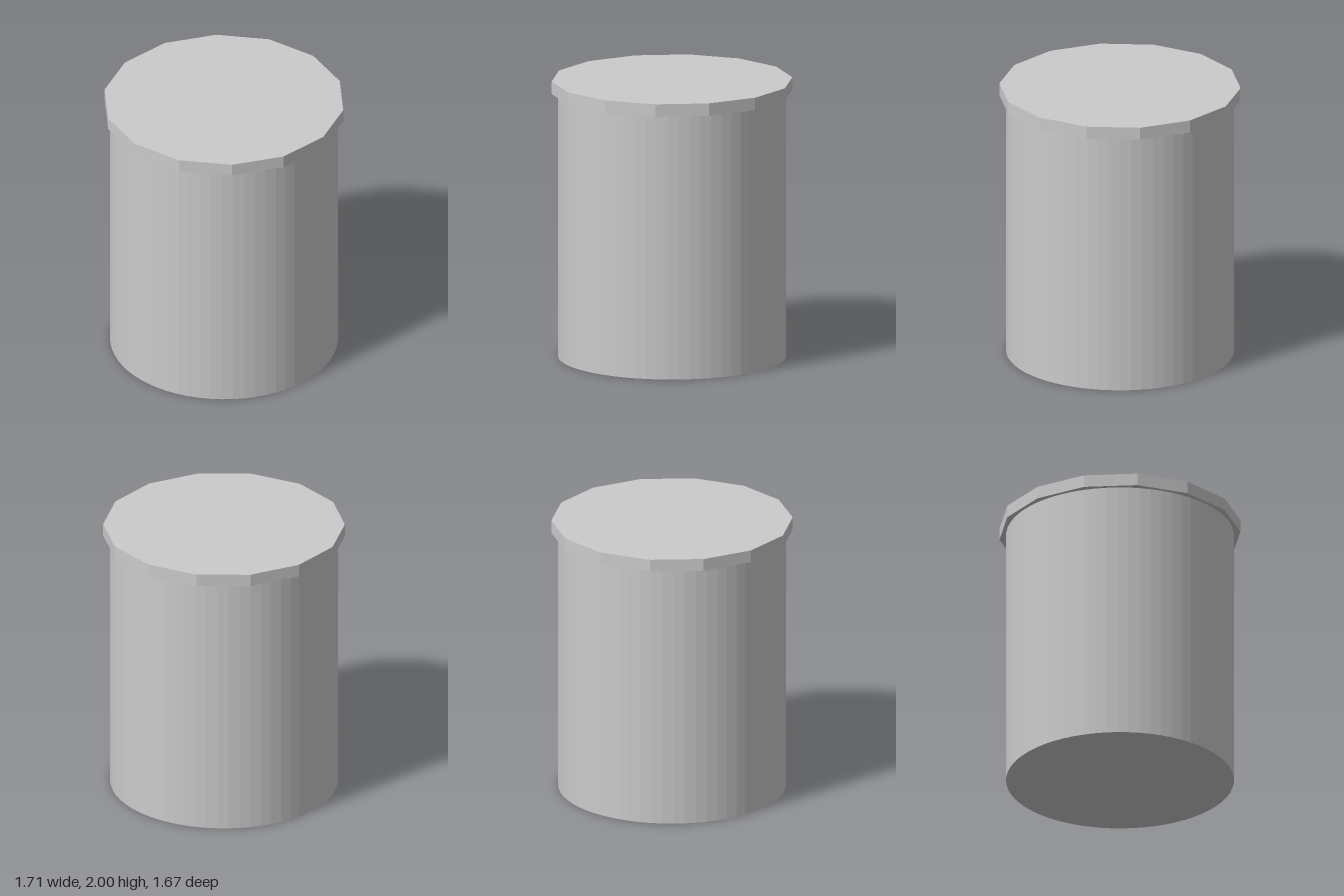
import * as THREE from 'three';

export function createModel() {
  const group = new THREE.Group();
  const material = new THREE.MeshStandardMaterial({ color: 0xcccccc, flatShading: true });

  // Upright cylinder spanning bottom..top, with a corner on the x axis
  const addDrum = (name, radius, bottom, top, sides) => {
    const geometry = new THREE.CylinderGeometry(radius, radius, top - bottom, sides, 1, false, Math.PI / 2);
    const mesh = new THREE.Mesh(geometry, material);
    mesh.name = name;
    mesh.position.y = (bottom + top) / 2;
    group.add(mesh);
  };

  // Finely faceted container body
  addDrum('body', 0.807, 0, 1.91, 64);
  // Overhanging fourteen-sided lid
  addDrum('lid', 0.855, 1.91, 2, 14);

  return group;
}
